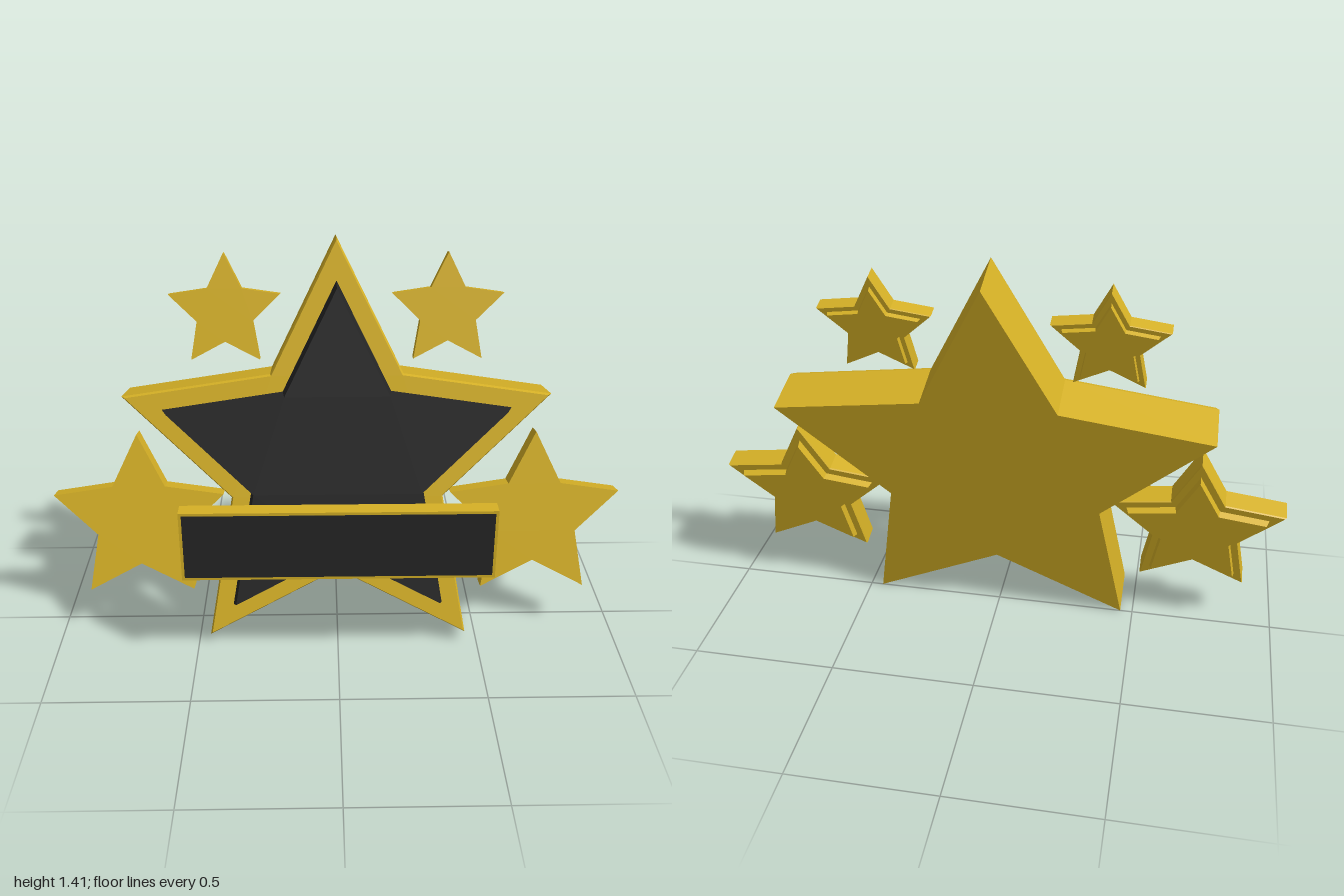
import * as THREE from 'three';

const gold = new THREE.MeshStandardMaterial({ color: 0xd6b126, flatShading: true });
const black = new THREE.MeshStandardMaterial({ color: 0x262626, flatShading: true });

function mesh(name, geometry, material) {
  const m = new THREE.Mesh(geometry, material);
  m.name = name;
  return m;
}

// Five-pointed star slab from z0 to z1; its front outline is scaled by taper
function starSlab(radius, z0, z1, taper = 1) {
  const shape = new THREE.Shape(Array.from({ length: 10 }, (_, i) => {
    const a = Math.PI / 2 + (i * Math.PI) / 5;
    const r = i % 2 ? radius * 0.5 : radius;
    return new THREE.Vector2(r * Math.cos(a), r * Math.sin(a));
  }));
  const g = new THREE.ExtrudeGeometry(shape, { depth: z1 - z0, bevelEnabled: false });
  const p = g.attributes.position;
  for (let i = 0; i < p.count; i++) {
    const s = p.getZ(i) > (z1 - z0) / 2 ? taper : 1;
    p.setXY(i, p.getX(i) * s, p.getY(i) * s);
  }
  g.translate(0, 0, z0);
  g.computeVertexNormals();
  return g;
}

// Thick star with a thin chamfer and a raised smaller star on its face
function makeStar(name, faceMaterial) {
  const star = new THREE.Group();
  star.name = name;
  star.add(
    mesh('starBody', starSlab(0.776, 0, 0.18), gold),
    mesh('starChamfer', starSlab(0.776, 0.18, 0.193, 0.984), gold),
    mesh('starFace', starSlab(0.631, 0.193, 0.255, 0.964), faceMaterial),
  );
  return star;
}

export function createModel() {
  const model = new THREE.Group();
  model.name = 'starBadge';

  // All stars lean back together
  const stars = new THREE.Group();
  stars.name = 'leaningStars';
  stars.rotation.x = -Math.atan2(0.325, 1.365);
  model.add(stars);

  const main = makeStar('mainStar', black);
  main.position.y = 0.628;
  stars.add(main);

  // Side stars turned around, raised face to the back
  for (const [side, s] of [['left', 1], ['right', -1]]) {
    for (const [level, x, y, z, scale] of [
      ['Lower', 0.7, 0.411, 0.139, 0.405],
      ['Upper', 0.38, 1.151, 0.162, 0.257],
    ]) {
      const star = makeStar(side + level + 'Star', gold);
      star.rotation.y = Math.PI;
      star.scale.setScalar(scale);
      star.position.set(s * x, y, z);
      stars.add(star);
    }
  }

  // Upright name plate floating in front
  const plate = mesh('plateFrame', new THREE.BoxGeometry(1.05, 0.255, 0.055), gold);
  plate.position.set(0, 0.493, 0.2965);
  const panel = mesh('platePanel', new THREE.BoxGeometry(1.03, 0.235, 0.01), black);
  panel.position.set(0, 0.493, 0.3205);
  model.add(plate, panel);

  return model;
}
